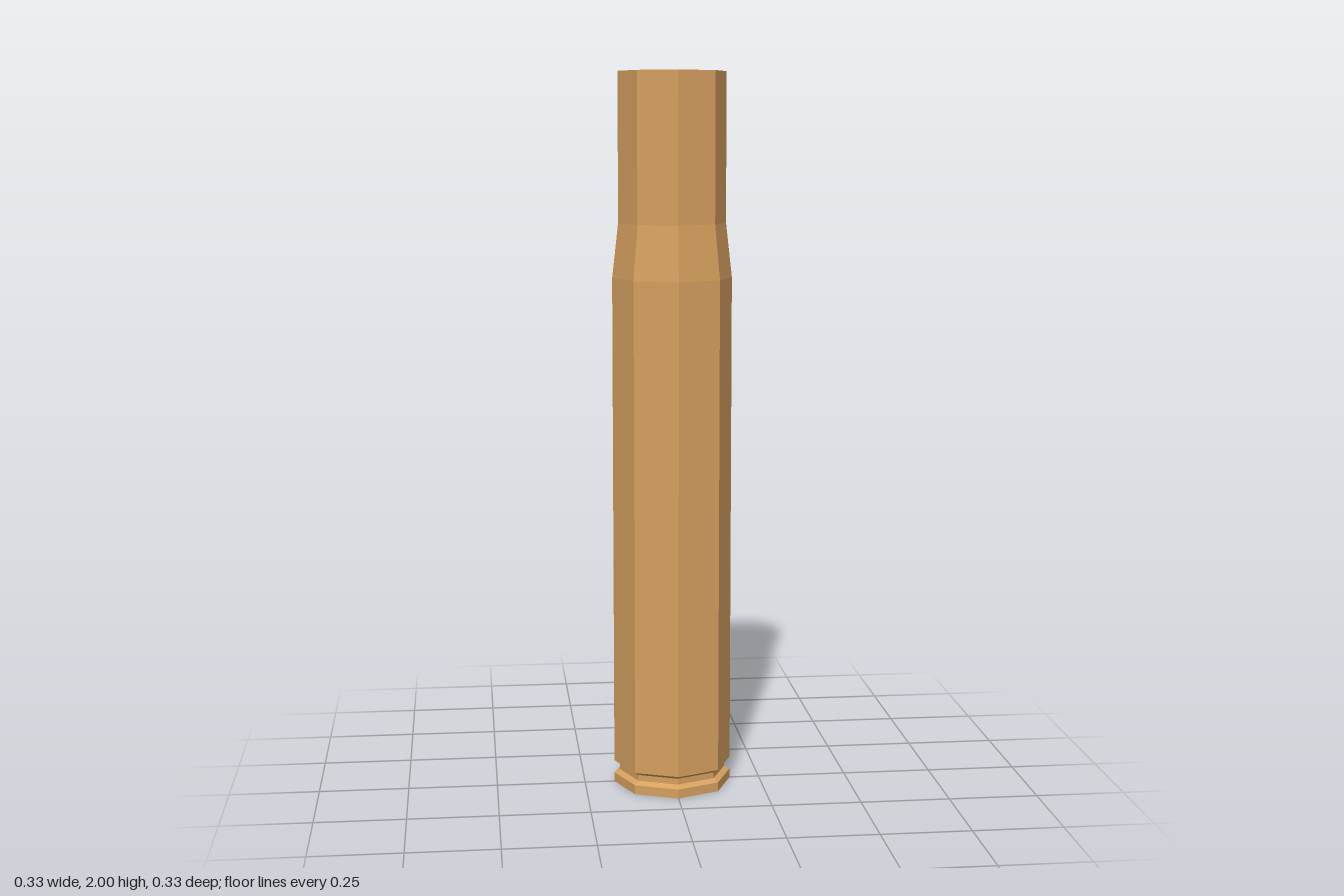
import * as THREE from 'three';

const SIDES = 8;
const brass = new THREE.MeshStandardMaterial({ color: 0xd6a05f, flatShading: true });

// Eight-sided turned part; profile points are [radius, height]
function turned(name, profile) {
  const points = profile.map(([r, y]) => new THREE.Vector2(r, y));
  const mesh = new THREE.Mesh(new THREE.LatheGeometry(points, SIDES), brass);
  mesh.name = name;
  return mesh;
}

export function createModel() {
  const group = new THREE.Group();
  group.name = 'cartridgeCase';

  // Flat base disc and rim, then the bevelled extractor groove
  group.add(turned('rim', [[0, 0], [0.166, 0], [0.166, 0.026], [0.15, 0.035]]));
  group.add(turned('extractorGroove', [[0.15, 0.035], [0.15, 0.052], [0.166, 0.062]]));

  // Long straight body, tapered shoulder and narrow neck
  group.add(turned('body', [[0.166, 0.062], [0.166, 1.44]]));
  group.add(turned('shoulder', [[0.166, 1.44], [0.149, 1.59]]));
  group.add(turned('neck', [[0.149, 1.59], [0.149, 2]]));

  // Mouth lip and hollow bore with a flat floor
  group.add(turned('mouth', [[0.149, 2], [0.134, 2]]));
  group.add(turned('bore', [[0.134, 2], [0.134, 0.1], [0, 0.1]]));

  return group;
}
